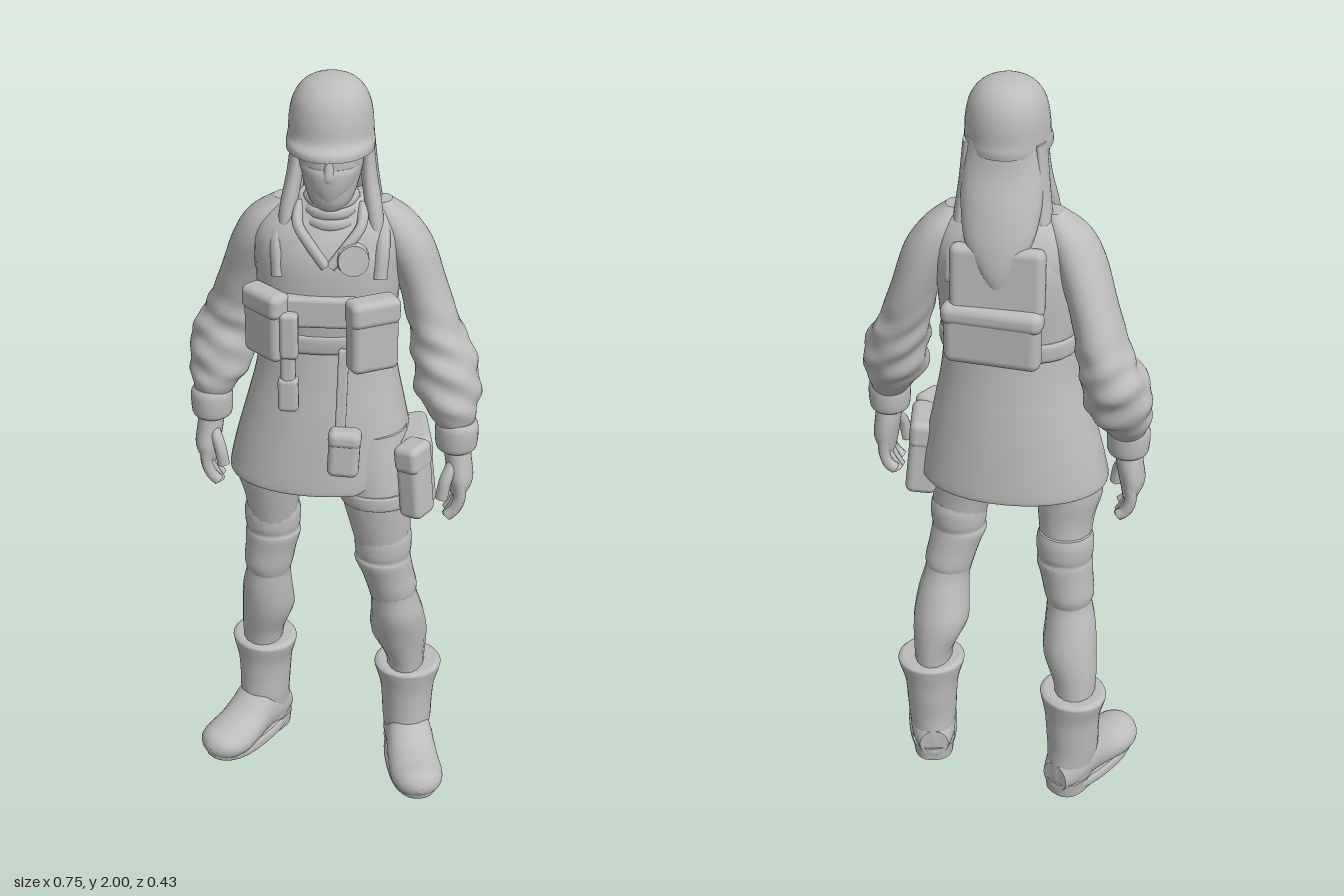
import * as THREE from 'three';
import { RoundedBoxGeometry } from 'three/addons/geometries/RoundedBoxGeometry.js';

const cloth = new THREE.MeshStandardMaterial({ color: 0xbcbcbc, side: THREE.DoubleSide });
cloth.name = 'plain grey';

// Smooth skin over elliptical rings [y, x, z, rx, rz], listed from bottom to top
function loft(rings, { sides = 28, steps = 4, power = 2, caps = true } = {}) {
  const rows = [];
  const cr = (a, b, c, d, t) => 0.5 * (2 * b + (c - a) * t + (2 * a - 5 * b + 4 * c - d) * t * t + (3 * b - a - 3 * c + d) * t * t * t);
  const at = i => rings[Math.min(Math.max(i, 0), rings.length - 1)];
  for (let i = 0; i < rings.length - 1; i++)
    for (let s = 0; s < steps; s++)
      rows.push(rings[i].map((_, k) => cr(at(i - 1)[k], at(i)[k], at(i + 1)[k], at(i + 2)[k], s / steps)));
  rows.push(rings[rings.length - 1]);
  const pos = [], idx = [];
  const addRing = ([y, x, z, rx, rz]) => {
    const first = pos.length / 3;
    for (let i = 0; i < sides; i++) {
      const a = i / sides * Math.PI * 2, c = Math.cos(a), s = Math.sin(a);
      pos.push(x + Math.sign(c) * Math.abs(c) ** (2 / power) * rx, y, z + Math.sign(s) * Math.abs(s) ** (2 / power) * rz);
    }
    return first;
  };
  rows.forEach(addRing);
  for (let j = 0; j < rows.length - 1; j++)
    for (let i = 0; i < sides; i++) {
      const a = j * sides + i, b = j * sides + (i + 1) % sides;
      idx.push(a, a + sides, b, b, a + sides, b + sides);
    }
  if (caps) [rows[0], rows[rows.length - 1]].forEach((r, top) => {
    const f = addRing(r), c = pos.length / 3;
    pos.push(r[1], r[0], r[2]);
    for (let i = 0; i < sides; i++) {
      const n = f + (i + 1) % sides;
      top ? idx.push(c, n, f + i) : idx.push(c, f + i, n);
    }
  });
  const g = new THREE.BufferGeometry();
  g.setAttribute('position', new THREE.Float32BufferAttribute(pos, 3));
  g.setIndex(idx);
  g.computeVertexNormals();
  return g;
}

// Move every vertex by a rule
function warp(geo, rule) {
  const p = geo.attributes.position, n = geo.attributes.normal, v = new THREE.Vector3(), m = new THREE.Vector3();
  for (let i = 0; i < p.count; i++) {
    rule(v.fromBufferAttribute(p, i), m.fromBufferAttribute(n, i));
    p.setXYZ(i, v.x, v.y, v.z);
  }
  geo.computeVertexNormals();
  return geo;
}

const tube = (pts, r) => new THREE.TubeGeometry(new THREE.CatmullRomCurve3(pts.map(p => new THREE.Vector3(...p))), 14, r, 8);
const box = (w, h, d, r = 0.012) => new RoundedBoxGeometry(w, h, d, 4, r);
const clamp = THREE.MathUtils.clamp;

// Sleeve with slanting, uneven folds around the elbow
const sleeve = rings => warp(loft(rings, { sides: 40, steps: 6 }), (v, n) => {
  const fade = clamp((v.y - 1.14) / 0.05, 0, 1) * clamp((1.45 - v.y) / 0.1, 0, 1);
  const fold = Math.sin(v.y * 80 + v.x * 45 + Math.sin(v.z * 40)) + 0.7 * Math.sin(v.y * 55 - v.z * 60);
  v.addScaledVector(n, fade * 0.0035 * fold);
});

export function createModel() {
  const model = new THREE.Group();
  const add = (name, geo, pos = [0, 0, 0], rot = [0, 0, 0], parent = model) => {
    const m = new THREE.Mesh(geo, cloth);
    m.name = name;
    m.position.set(...pos);
    m.rotation.set(...rot);
    parent.add(m);
  };

  // Head, helmet and hair
  add('head', loft([[1.69, 0, 0.055, 0.025, 0.025], [1.715, 0, 0.045, 0.05, 0.048], [1.76, 0, 0.027, 0.067, 0.07], [1.82, 0, 0.01, 0.08, 0.085], [1.88, 0, 0, 0.08, 0.085]]));
  add('mask', loft([[1.72, 0, 0.06, 0.03, 0.034], [1.75, 0, 0.042, 0.056, 0.06], [1.785, 0, 0.03, 0.07, 0.074], [1.8, 0, 0.02, 0.074, 0.078]]));
  add('nose', loft([[1.765, 0, 0.092, 0.012, 0.01], [1.785, 0, 0.094, 0.014, 0.013], [1.825, 0, 0.085, 0.009, 0.01]]));
  add('helmet', loft([[1.835, -0.002, 0.018, 0.104, 0.128], [1.85, -0.002, 0.016, 0.104, 0.127], [1.868, -0.002, 0.006, 0.101, 0.114], [1.91, -0.002, 0.003, 0.098, 0.109], [1.95, -0.002, 0.002, 0.088, 0.097], [1.98, -0.002, 0, 0.066, 0.072], [1.995, -0.002, 0, 0.036, 0.04], [2, -0.002, 0, 0.004, 0.004]], { sides: 36 }));
  add('backHair', loft([[1.52, 0, -0.15, 0.012, 0.01], [1.57, 0, -0.147, 0.04, 0.022], [1.64, 0, -0.122, 0.08, 0.04], [1.72, 0, -0.08, 0.096, 0.06], [1.8, 0, -0.05, 0.096, 0.06], [1.87, 0, -0.03, 0.09, 0.07]]));
  for (const s of [-1, 1]) {
    add('sideHair', loft([[1.59, s * 0.11, 0.055, 0.01, 0.016], [1.67, s * 0.104, 0.036, 0.02, 0.026], [1.77, s * 0.087, 0.008, 0.019, 0.032], [1.86, s * 0.082, 0, 0.014, 0.04]]));
    add('hairStrand', loft([[1.6, s * 0.095, -0.085, 0.02, 0.025], [1.67, s * 0.095, -0.055, 0.023, 0.036], [1.76, s * 0.09, -0.035, 0.017, 0.04], [1.86, s * 0.083, -0.025, 0.014, 0.045]]));
  }
  add('neck', loft([[1.62, 0, 0, 0.07, 0.07], [1.7, 0, 0.008, 0.058, 0.062], [1.77, 0, 0.01, 0.05, 0.055]]));
  [1.665, 1.69, 1.712].forEach((y, i) =>
    add('neckScarf', new THREE.TorusGeometry(0.06 - i * 0.005, 0.017, 8, 28), [0, y, 0.015], [Math.PI / 2 + 0.12, 0, 0]));

  // Jacket and vest
  add('torso', loft([[1.28, -0.015, -0.02, 0.16, 0.12], [1.36, -0.015, -0.02, 0.163, 0.122], [1.45, -0.012, -0.02, 0.168, 0.128], [1.55, -0.01, -0.02, 0.182, 0.132], [1.62, -0.008, -0.02, 0.178, 0.118], [1.67, -0.003, -0.02, 0.14, 0.092], [1.71, 0, -0.01, 0.075, 0.065]], { power: 2.3, sides: 36 }));
  add('vest', loft([[1.35, -0.014, -0.018, 0.168, 0.132], [1.44, -0.012, -0.018, 0.174, 0.14], [1.55, -0.008, -0.02, 0.174, 0.143], [1.61, -0.005, -0.022, 0.152, 0.13], [1.66, 0, -0.025, 0.12, 0.104], [1.695, 0, -0.02, 0.085, 0.075]], { power: 2.3, sides: 36 }));
  add('vestBelt', loft([[1.335, -0.014, -0.018, 0.17, 0.133], [1.345, -0.014, -0.018, 0.175, 0.138], [1.375, -0.014, -0.018, 0.175, 0.14], [1.385, -0.014, -0.018, 0.17, 0.135]], { power: 2.4 }));
  for (const s of [-1, 1]) {
    add('shoulderStrap', tube([[s * 0.12, 1.53, 0.09], [s * 0.125, 1.61, 0.065], [s * 0.12, 1.655, 0], [s * 0.118, 1.63, -0.08], [s * 0.11, 1.53, -0.122]], 0.018));
    add('collar', tube([[s * 0.075, 1.695, 0.03], [s * 0.075, 1.66, 0.08], [s * 0.045, 1.62, 0.105], [s * 0.005, 1.57, 0.121]], 0.013));
  }
  add('chestBadge', new THREE.CylinderGeometry(0.037, 0.041, 0.03, 20), [0.058, 1.588, 0.115], [Math.PI / 2 - 0.15, 0, -0.2]);
  add('chestBand', box(0.18, 0.08, 0.035), [-0.02, 1.455, 0.122]);

  // Pouches with lids
  const pouch = (name, pos, rot, w, h, d, r) => {
    const g = new THREE.Group();
    g.name = name;
    g.position.set(...pos);
    g.rotation.set(...rot);
    add('pouchBody', box(w, h, d, r), [0, 0, 0], [0, 0, 0], g);
    add('pouchLid', box(w * 1.05, h * 0.36, d * 1.08, r), [0, h * 0.33, 0.002], [0, 0, 0], g);
    model.add(g);
  };
  pouch('rightChestPouch', [-0.15, 1.415, 0.106], [0, -0.75, 0], 0.12, 0.175, 0.055, 0.018);
  pouch('leftChestPouch', [0.107, 1.41, 0.14], [0, 0.48, 0], 0.122, 0.185, 0.06, 0.018);
  add('toolHandle', box(0.045, 0.12, 0.035), [-0.092, 1.4, 0.145]);
  add('toolSheath', box(0.036, 0.2, 0.034), [-0.096, 1.31, 0.138]);
  add('toolTip', box(0.05, 0.09, 0.038), [-0.096, 1.24, 0.14]);
  add('hangingStrap', box(0.026, 0.24, 0.018, 0.006), [0.035, 1.24, 0.143], [-0.13, 0, -0.03]);
  pouch('hangingPouch', [0.043, 1.1, 0.174], [-0.05, 0, -0.05], 0.078, 0.125, 0.052, 0.018);

  // Back pack and plate
  add('backPlate', box(0.23, 0.17, 0.045, 0.02), [0, 1.55, -0.14], [0.08, -0.06, 0]);
  pouch('backPack', [0.01, 1.41, -0.155], [0, Math.PI - 0.12, 0], 0.24, 0.155, 0.056, 0.024);

  // Skirt of the coat, its hem lifted at the front left slit
  const skirt = loft([[0.948, -0.025, -0.02, 0.238, 0.163], [0.965, -0.025, -0.02, 0.24, 0.165], [1.05, -0.022, -0.02, 0.224, 0.158], [1.15, -0.018, -0.02, 0.2, 0.148], [1.25, -0.015, -0.02, 0.177, 0.135], [1.34, -0.015, -0.02, 0.166, 0.126]], { caps: false, sides: 48, power: 2.1 });
  add('coatSkirt', warp(skirt, v => {
    if (v.y < 1.25) v.y += 0.8 * clamp(v.x - 0.08, 0, 0.11) * clamp(v.z / 0.08, 0, 1) * (1.25 - v.y) / 0.3;
  }));
  add('pelvis', loft([[0.975, -0.025, 0, 0.05, 0.06], [1.02, -0.015, -0.005, 0.14, 0.09], [1.1, -0.015, -0.01, 0.17, 0.115], [1.2, -0.015, -0.02, 0.15, 0.11]]));

  // Sleeves: narrow shoulder, full elbow, gathered wrist
  add('rightSleeve', sleeve([[1.12, -0.315, -0.07, 0.042, 0.046], [1.165, -0.305, -0.085, 0.064, 0.07], [1.2, -0.295, -0.1, 0.08, 0.084], [1.25, -0.29, -0.112, 0.083, 0.088], [1.29, -0.284, -0.12, 0.083, 0.091], [1.33, -0.27, -0.124, 0.075, 0.088], [1.38, -0.253, -0.118, 0.066, 0.086], [1.48, -0.222, -0.09, 0.06, 0.082], [1.58, -0.185, -0.055, 0.062, 0.08], [1.645, -0.155, -0.04, 0.052, 0.064], [1.69, -0.12, -0.03, 0.022, 0.03]]));
  add('leftSleeve', sleeve([[1.12, 0.315, 0.055, 0.042, 0.046], [1.165, 0.302, 0.046, 0.064, 0.068], [1.2, 0.292, 0.035, 0.079, 0.08], [1.25, 0.287, 0.02, 0.081, 0.083], [1.29, 0.28, 0.01, 0.08, 0.084], [1.33, 0.267, 0, 0.072, 0.079], [1.38, 0.25, -0.012, 0.065, 0.077], [1.48, 0.218, -0.026, 0.06, 0.078], [1.58, 0.18, -0.028, 0.064, 0.078], [1.645, 0.148, -0.028, 0.05, 0.064], [1.69, 0.12, -0.025, 0.022, 0.03]]));

  // Cuffs and hands
  for (const [side, s, z] of [['right', -1, -0.065], ['left', 1, 0.06]]) {
    const arm = new THREE.Group();
    arm.name = side + 'Hand';
    arm.position.set(s * 0.317, 0, z);
    model.add(arm);
    add('cuff', loft([[1.062, 0, 0, 0.042, 0.043], [1.075, 0, 0, 0.052, 0.053], [1.125, 0, 0, 0.054, 0.055], [1.145, 0, 0, 0.045, 0.047]]), [0, 0, 0], [0, 0, 0], arm);
    add('palm', loft([[0.94, s * 0.01, 0.005, 0.02, 0.043], [0.98, s * 0.014, 0.005, 0.032, 0.052], [1.03, s * 0.007, 0, 0.034, 0.046], [1.08, 0, 0, 0.034, 0.037]]), [0, 0, 0], [0, 0, 0], arm);
    for (let i = 0; i < 4; i++) {
      const fz = -0.032 + i * 0.025, tip = [0.892, 0.876, 0.872, 0.886][i];
      add('finger', tube([[s * 0.012, 0.985, fz], [s * 0.014, 0.94, fz], [s * 0.002, 0.905, fz], [-s * 0.016, tip, fz]], 0.0155), [0, 0, 0], [0, 0, 0], arm);
    }
    add('thumb', tube([[-s * 0.005, 1.03, 0.025], [-s * 0.023, 0.99, 0.047], [-s * 0.032, 0.94, 0.052]], 0.016), [0, 0, 0], [0, 0, 0], arm);
  }

  // Thigh holster in front, pouch behind it
  pouch('thighPouch', [0.215, 0.985, -0.005], [0.05, 0.15, 0.1], 0.08, 0.205, 0.14, 0.02);
  pouch('thighHolster', [0.217, 0.99, 0.103], [0, -0.54, 0.1], 0.066, 0.2, 0.08, 0.018);
  add('thighStrap', loft([[0.9, 0.12, 0.048, 0.09, 0.08], [0.907, 0.12, 0.048, 0.097, 0.087], [0.935, 0.117, 0.046, 0.1, 0.09], [0.942, 0.117, 0.046, 0.096, 0.086]]));

  // Legs with knee pads
  add('leftLeg', loft([[0.28, 0.2, -0.03, 0.05, 0.07], [0.36, 0.199, -0.025, 0.054, 0.074], [0.45, 0.181, -0.01, 0.076, 0.082], [0.53, 0.176, 0.015, 0.07, 0.08], [0.6, 0.165, 0.03, 0.062, 0.066], [0.7, 0.142, 0.044, 0.07, 0.064], [0.77, 0.135, 0.048, 0.073, 0.067], [0.85, 0.125, 0.05, 0.083, 0.075], [0.95, 0.112, 0.045, 0.096, 0.085], [1.1, 0.09, 0.02, 0.1, 0.09]], { sides: 16 }));
  add('rightLeg', loft([[0.28, -0.203, -0.12, 0.05, 0.065], [0.36, -0.203, -0.112, 0.058, 0.066], [0.45, -0.186, -0.095, 0.072, 0.076], [0.53, -0.184, -0.077, 0.068, 0.07], [0.6, -0.178, -0.066, 0.06, 0.06], [0.7, -0.165, -0.068, 0.065, 0.064], [0.77, -0.163, -0.058, 0.066, 0.067], [0.85, -0.163, -0.045, 0.074, 0.07], [0.95, -0.165, -0.035, 0.09, 0.08], [1.1, -0.11, -0.01, 0.095, 0.09]], { sides: 16 }));
  const kneePad = (name, x0, z0, x1, z1) => add(name, loft([[0.59, x0, z0, 0.058, 0.06], [0.62, x0, z0, 0.066, 0.068], [0.67, (x0 + x1) / 2, (z0 + z1) / 2, 0.069, 0.068], [0.715, x1, z1, 0.074, 0.07], [0.73, x1, z1, 0.071, 0.067], [0.75, x1, z1, 0.074, 0.071], [0.785, x1, z1, 0.075, 0.071], [0.81, x1, z1, 0.069, 0.065]]));
  kneePad('leftKneePad', 0.162, 0.032, 0.137, 0.047);
  kneePad('rightKneePad', -0.178, -0.066, -0.164, -0.062);

  // Boots, each turned outwards, with toes bent up
  for (const [name, x, z, yaw] of [['leftBoot', 0.208, -0.027, 0.22], ['rightBoot', -0.203, -0.118, -0.57]]) {
    const boot = new THREE.Group();
    boot.name = name;
    boot.position.set(x, 0, z);
    boot.rotation.y = yaw;
    model.add(boot);
    add('bootShaft', loft([[0.02, 0, -0.005, 0.056, 0.07], [0.08, 0, -0.005, 0.06, 0.072], [0.14, 0, 0, 0.067, 0.074], [0.2, 0, -0.003, 0.07, 0.075], [0.26, 0, -0.004, 0.076, 0.077], [0.31, 0, -0.004, 0.09, 0.084], [0.325, 0, -0.004, 0.091, 0.085], [0.332, 0, -0.004, 0.08, 0.076]]), [0, 0, 0], [0, 0, 0], boot);
    add('bootFoot', loft([[-0.075, 0, -0.06, 0.04, 0.045], [-0.03, 0, -0.08, 0.06, 0.07], [0.04, 0, -0.094, 0.065, 0.084], [0.08, 0, -0.08, 0.067, 0.07], [0.12, 0, -0.066, 0.07, 0.056], [0.17, 0, -0.06, 0.072, 0.049], [0.21, 0, -0.062, 0.062, 0.044], [0.235, 0, -0.064, 0.04, 0.031], [0.248, 0, -0.064, 0.01, 0.008]]), [0, 0, 0], [Math.PI / 2, 0, 0], boot);
    const sole = loft([[0, 0, 0.08, 0.064, 0.153], [0.008, 0, 0.08, 0.069, 0.159], [0.026, 0, 0.08, 0.069, 0.16], [0.034, 0, 0.08, 0.064, 0.153]], { power: 2.3 });
    add('sole', warp(sole, v => { v.y += 0.011 + 1.2 * Math.max(0, v.z - 0.13) ** 2; }), [0, 0, 0], [0, 0, 0], boot);
    add('heel', loft([[0, 0, -0.012, 0.054, 0.064], [0.045, 0, -0.01, 0.06, 0.07]], { power: 2.5 }), [0, 0, 0], [0, 0, 0], boot);
  }
  return model;
}
